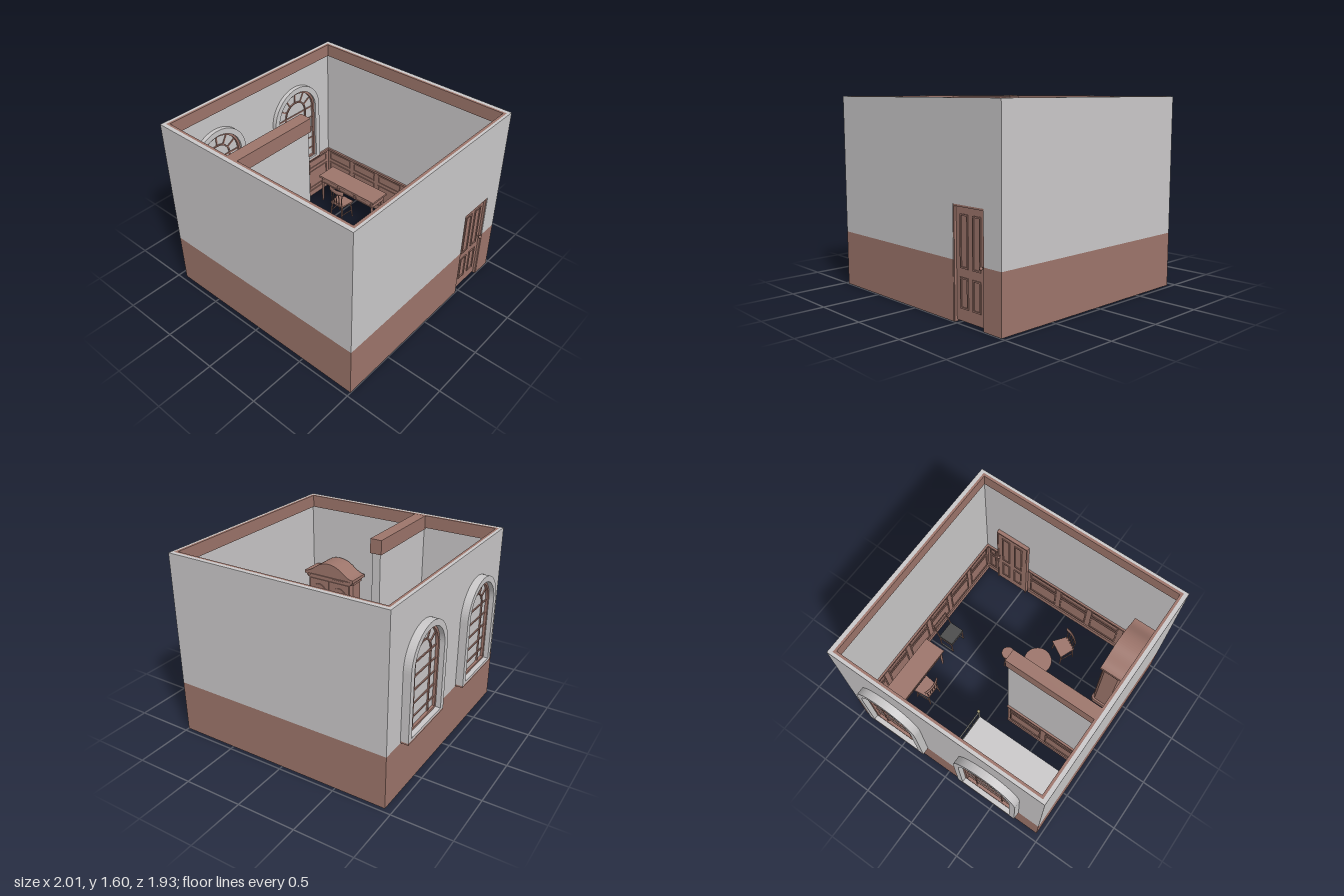
import * as THREE from 'three';

const mat = (name, color, side = THREE.FrontSide) => {
  const m = new THREE.MeshStandardMaterial({ color, side });
  m.name = name;
  return m;
};
const plaster = mat('pale plaster', 0xcac8c9);
const wood = mat('reddish wood', 0x9d756b);
const dark = mat('dark grey', 0x4c4c4c);
const metal = mat('bed metal', 0x8a8a84);
const brass = mat('brass', 0xa39a72);
const V = (x, y, z) => new THREE.Vector3(x, y, z);

function add(parent, name, geo, material, x = 0, y = 0, z = 0) {
  const m = new THREE.Mesh(geo, material);
  m.name = name;
  m.position.set(x, y, z);
  parent.add(m);
  return m;
}
function group(parent, name, x = 0, y = 0, z = 0, ry = 0) {
  const g = new THREE.Group();
  g.name = name;
  g.position.set(x, y, z);
  g.rotation.y = ry;
  parent.add(g);
  return g;
}
// box given by its minimum and maximum corners
const box = (p, name, m, x0, y0, z0, x1, y1, z1) =>
  add(p, name, new THREE.BoxGeometry(x1 - x0, y1 - y0, z1 - z0), m, (x0 + x1) / 2, (y0 + y1) / 2, (z0 + z1) / 2);
// round bar between two points
function rod(p, name, m, a, b, r0, r1 = r0) {
  const d = b.clone().sub(a);
  const mesh = add(p, name, new THREE.CylinderGeometry(r1, r0, d.length(), 8), m);
  mesh.position.copy(a).add(b).multiplyScalar(0.5);
  mesh.quaternion.setFromUnitVectors(V(0, 1, 0), d.normalize());
}
const extrude = (shape, depth) => new THREE.ExtrudeGeometry(shape, { depth, bevelEnabled: false, curveSegments: 20 });
const trace = (s, pts) => {
  pts.forEach(([x, y], i) => (i ? s.lineTo(x, y) : s.moveTo(x, y)));
  s.closePath();
  return s;
};
const rect = (s, w, h) => trace(s, [[-w / 2, -h / 2], [w / 2, -h / 2], [w / 2, h / 2], [-w / 2, h / 2]]);
// rectangular moulding centred on x, y
function moulding(p, name, x, y, z, w, h, t = 0.012, d = 0.008) {
  const s = rect(new THREE.Shape(), w, h);
  s.holes.push(rect(new THREE.Path(), w - 2 * t, h - 2 * t));
  return add(p, name, extrude(s, d), wood, x, y, z);
}
// arch outline: straight sides from y0 up to the spring line ys, then a half circle
function archPath(s, r, y0, ys) {
  s.moveTo(-r, y0);
  s.lineTo(r, y0);
  s.lineTo(r, ys);
  s.absarc(0, ys, r, 0, Math.PI, false);
  s.lineTo(-r, y0);
  return s;
}
function archRing(r, t, y0, ys, depth, bottom = 0) {
  const s = archPath(new THREE.Shape(), r, y0, ys);
  s.holes.push(archPath(new THREE.Path(), r - t, y0 + bottom, ys));
  return extrude(s, depth);
}

const H = 1.6, DADO = 0.457;
function wall(p, name, x0, z0, x1, z1, y0 = 0, y1 = H) {
  if (y0 < DADO) box(p, name + 'Lower', wood, x0, y0, z0, x1, DADO, z1);
  box(p, name + 'Upper', plaster, x0, Math.max(y0, DADO), z0, x1, y1, z1);
}
// panelled wainscot facing local +z, running from -len/2 to len/2
function wainscot(p, x, z, ry, len) {
  const g = group(p, 'wainscot', x, 0, z, ry), h = len / 2;
  box(g, 'skirting', wood, -h, 0, 0, h, 0.06, 0.012);
  box(g, 'dadoRail', wood, -h, DADO - 0.022, 0, h, DADO, 0.018);
  const n = Math.max(1, Math.round(len / 0.31)), w = len / n;
  for (let i = 0; i < n; i++) {
    const cx = -h + (i + 0.5) * w;
    moulding(g, 'lowerPanel', cx, 0.19, 0, w - 0.05, 0.21);
    moulding(g, 'upperPanel', cx, 0.37, 0, w - 0.05, 0.09);
  }
}

function windowUnit(p, z) {
  const g = group(p, 'archedWindow', -0.87, 0, z, -Math.PI / 2), ys = 1.047;
  add(g, 'windowSurround', archRing(0.288, 0.05, 0.475, ys, 0.13, 0.02), plaster);
  box(g, 'windowSill', wood, -0.288, 0.46, 0, 0.288, 0.475, 0.13);
  add(g, 'windowFrame', archRing(0.24, 0.022, 0.49, ys, 0.07, 0.022), wood, 0, 0, 0.018);
  add(g, 'innerArchBar', archRing(0.132, 0.012, 0.5, ys, 0.05, 0.005), wood, 0, 0, 0.027);
  for (let i = 0; i < 5; i++) {
    const y = 0.59 + i * 0.114;
    box(g, 'crossBar', wood, -0.225, y - 0.006, 0.03, 0.225, y + 0.006, 0.074);
    const a = Math.PI * (i + 1) / 6;
    const bar = add(g, 'radialBar', new THREE.BoxGeometry(0.1, 0.012, 0.044), wood, 0.175 * Math.cos(a), ys + 0.175 * Math.sin(a), 0.052);
    bar.rotation.z = a;
  }
}

function door(p) {
  const g = group(p, 'door', 0.96, 0, -0.625, Math.PI / 2);
  box(g, 'doorSlab', wood, -0.155, 0.015, -0.014, 0.155, 0.847, 0.014);
  box(g, 'doorHead', wood, -0.166, 0.845, -0.02, 0.166, 0.86, 0.034);
  for (const s of [-1, 1]) {
    box(g, 'doorJamb', wood, s * 0.16 - 0.006, 0, -0.02, s * 0.16 + 0.006, 0.846, 0.034);
    const face = group(g, 'doorFace', 0, 0, s * 0.014, s > 0 ? 0 : Math.PI);
    for (const x of [-0.067, 0.067]) {
      moulding(face, 'upperDoorPanel', x, 0.598, 0, 0.085, 0.39);
      moulding(face, 'lowerDoorPanel', x, 0.223, 0, 0.085, 0.23);
    }
    add(g, 'doorKnob', new THREE.SphereGeometry(0.013, 12, 8), wood, 0.138, 0.445, s * 0.04);
    rod(g, 'knobStem', wood, V(0.138, 0.445, 0), V(0.138, 0.445, s * 0.035), 0.005);
  }
}

// chair whose back is at local +z
function chair(p, name, x, z, ry) {
  const g = group(p, name, x, 0, z, ry);
  const seat = add(g, 'seat', extrude(trace(new THREE.Shape(), [[-0.09, -0.075], [0.09, -0.075], [0.07, 0.075], [-0.07, 0.075]]), 0.015), wood, 0, 0.19, 0);
  seat.rotation.x = Math.PI / 2;
  for (const s of [-1, 1]) {
    rod(g, 'frontLeg', wood, V(s * 0.085, 0, -0.07), V(s * 0.07, 0.18, -0.055), 0.006, 0.009);
    rod(g, 'backLeg', wood, V(s * 0.075, 0, 0.075), V(s * 0.06, 0.18, 0.06), 0.006, 0.009);
    rod(g, 'sideStretcher', wood, V(s * 0.08, 0.08, -0.065), V(s * 0.068, 0.08, 0.068), 0.005);
  }
  const curve = new THREE.QuadraticBezierCurve3(V(-0.088, 0, 0.065), V(0, 0, 0.105), V(0.088, 0, 0.065));
  add(g, 'topRail', new THREE.TubeGeometry(curve, 16, 0.008, 8), wood, 0, 0.345, 0).scale.y = 3.2;
  for (let i = 0; i < 5; i++) {
    const q = curve.getPoint(0.1 + i * 0.2);
    rod(g, 'spindle', wood, V(q.x * 0.8, 0.185, 0.066), V(q.x, 0.34, q.z), 0.005);
  }
}

function roundTop(p, name, x, z, r, h, foot, thick) {
  const g = group(p, name, x, 0, z);
  add(g, 'roundTop', new THREE.CylinderGeometry(r, r, thick, 32), wood, 0, h - thick / 2, 0);
  for (let i = 0; i < 4; i++) {
    const a = i * Math.PI / 2, c = Math.cos(a), s = Math.sin(a);
    rod(g, 'splayedLeg', wood, V(c * foot, 0, s * foot), V(c * r * 0.45, h - thick, s * r * 0.45), 0.006, 0.009);
  }
}

function bed(p) {
  const g = group(p, 'bed', -0.605, 0, 0.41);
  box(g, 'mattress', plaster, -0.195, 0.195, -0.435, 0.195, 0.265, 0.435);
  for (let i = 0; i < 22; i++) {
    const z = -0.42 + i * 0.04;
    box(g, 'slat', metal, -0.2, 0.178, z - 0.014, 0.2, 0.188, z + 0.014);
  }
  for (const s of [-1, 1]) {
    box(g, 'sideRail', metal, s * 0.2 - 0.006, 0.17, -0.45, s * 0.2 + 0.006, 0.205, 0.45);
    const z = s * 0.45, h = s > 0 ? 0.5 : 0.37;
    for (const x of [-0.203, 0.203]) {
      rod(g, 'bedPost', metal, V(x, 0, z), V(x, h, z), 0.009);
      add(g, 'postKnob', new THREE.SphereGeometry(0.015, 12, 10), brass, x, h + 0.01, z);
    }
    for (const y of [0.19, h - 0.02]) rod(g, 'endRail', metal, V(-0.2, y, z), V(0.2, y, z), 0.007);
    for (let i = 1; i < 8; i++) rod(g, 'endBar', metal, V(-0.203 + i * 0.0508, 0.19, z), V(-0.203 + i * 0.0508, h - 0.02, z), 0.004);
  }
}

function wardrobe(p) {
  const g = group(p, 'wardrobe', 0.635, 0, 0.775, Math.PI);
  const plan = (w, d, c) => trace(new THREE.Shape(), [[-w + c, -d], [w - c, -d], [w, -d + c], [w, d - c], [w - c, d], [-w + c, d], [-w, d - c], [-w, -d + c]]);
  for (const [name, w, d, y0, y1] of [['body', 0.25, 0.088, 0.1, 0.89], ['plinth', 0.268, 0.1, 0.04, 0.1], ['corniceBase', 0.262, 0.096, 0.87, 0.89]])
    add(g, name, extrude(plan(w, d, 0.022), y1 - y0), wood, 0, y0, 0).rotation.set(-Math.PI / 2, 0, 0);
  // crown with a bowed top, its front band repeating the bow
  const crown = (w, y0, y1, rise) => {
    const s = new THREE.Shape();
    s.moveTo(-w, y0);
    s.lineTo(w, y0);
    s.lineTo(w, y1);
    s.bezierCurveTo(w - 0.1, y1, w - 0.13, y1 + rise, 0, y1 + rise);
    s.bezierCurveTo(-w + 0.13, y1 + rise, -w + 0.1, y1, -w, y1);
    s.closePath();
    return s;
  };
  add(g, 'crown', extrude(crown(0.255, 0.88, 0.9, 0.1), 0.19), wood, 0, 0, -0.095);
  const cap = crown(0.272, 0.9, 0.93, 0.11);
  cap.holes.push(trace(new THREE.Path(), crown(0.235, 0.905, 0.907, 0.085).getPoints(12).slice(0, -1).map((q) => [q.x, q.y])));
  add(g, 'crownCap', extrude(cap, 0.21), wood, 0, 0, -0.105);
  for (const s of [-1, 1]) {
    box(g, 'wardrobeDoor', wood, s * 0.113 - 0.108, 0.13, 0.085, s * 0.113 + 0.108, 0.86, 0.095);
    add(g, 'archedPanel', archRing(0.075, 0.014, 0.42, 0.74, 0.009, 0.014), wood, s * 0.113, 0, 0.095);
    moulding(g, 'lowerWardrobePanel', s * 0.113, 0.27, 0.095, 0.15, 0.2);
    add(g, 'wardrobeKnob', new THREE.SphereGeometry(0.009, 10, 8), brass, s * 0.018, 0.48, 0.102);
    for (const z of [-0.07, 0.07]) add(g, 'bunFoot', new THREE.CylinderGeometry(0.022, 0.016, 0.04, 16), wood, s * 0.235, 0.02, z);
  }
}

function desk(p) {
  const g = group(p, 'desk', -0.445, 0, -0.763);
  box(g, 'deskTop', wood, -0.345, 0.285, -0.103, 0.345, 0.305, 0.103);
  box(g, 'deskApron', wood, -0.325, 0.225, -0.088, 0.325, 0.285, 0.088);
  for (const s of [-1, 0, 1]) moulding(g, 'drawerFront', s * 0.21, 0.255, 0.088, 0.19, 0.045, 0.006, 0.006);
  for (const x of [-0.315, 0.315]) for (const z of [-0.08, 0.08])
    rod(g, 'deskLeg', wood, V(x, 0, z), V(x, 0.23, z), 0.009, 0.014);
}

// padded seat with an open, leaning back frame
function paddedSeat(p) {
  const g = group(p, 'paddedSeat', 0.11, 0, -0.745);
  box(g, 'cushion', dark, -0.087, 0.165, -0.068, 0.087, 0.195, 0.075);
  box(g, 'seatFrame', wood, -0.09, 0.15, -0.075, 0.09, 0.165, 0.073);
  for (const s of [-1, 1]) {
    rod(g, 'frontSeatLeg', wood, V(s * 0.083, 0, 0.065), V(s * 0.083, 0.155, 0.065), 0.007);
    rod(g, 'backSeatLeg', wood, V(s * 0.083, 0, -0.07), V(s * 0.083, 0.17, -0.07), 0.007);
    rod(g, 'backUpright', wood, V(s * 0.086, 0.16, -0.07), V(s * 0.086, 0.36, -0.115), 0.006);
    box(g, 'runner', dark, s * 0.083 - 0.008, 0, -0.075, s * 0.083 + 0.008, 0.006, 0.075);
  }
  rod(g, 'backTopRail', wood, V(-0.09, 0.36, -0.115), V(0.09, 0.36, -0.115), 0.006);
}

export function createModel() {
  const room = new THREE.Group();
  room.name = 'furnishedRoom';

  // outer walls, with an opening for the door
  wall(room, 'backWall', -0.935, -0.965, 0.998, -0.93);
  wall(room, 'frontWall', -0.935, 0.928, 0.998, 0.962);
  wall(room, 'leftWall', -0.935, -0.93, -0.908, 0.928);
  wall(room, 'rightWallRear', 0.975, -0.93, 0.998, -0.79);
  wall(room, 'rightWallFront', 0.975, -0.46, 0.998, 0.928);
  wall(room, 'rightWallOverDoor', 0.975, -0.79, 0.998, -0.46, 0.86);

  // cornice around the top
  const top = group(room, 'cornice');
  box(top, 'backCornice', wood, -0.908, 1.49, -0.93, 0.975, H, -0.91);
  box(top, 'frontCornice', wood, -0.908, 1.49, 0.907, 0.975, H, 0.928);
  box(top, 'leftCornice', wood, -0.908, 1.49, -0.91, -0.887, H, 0.907);
  box(top, 'rightCornice', wood, 0.952, 1.49, -0.91, 0.975, H, 0.907);

  // partition with a beam above it
  wall(room, 'partition', -0.22, 0.15, -0.145, 0.928, 0, 1.48);
  box(room, 'beam', wood, -0.235, 1.475, 0.137, -0.132, H - 0.001, 0.92);

  // wainscot on every inner face
  const q = Math.PI / 2;
  wainscot(room, 0.033, -0.93, 0, 1.88);
  wainscot(room, -0.564, 0.928, Math.PI, 0.68);
  wainscot(room, 0.415, 0.928, Math.PI, 1.1);
  wainscot(room, -0.908, 0, q, 1.85);
  wainscot(room, 0.975, 0.235, -q, 1.37);
  wainscot(room, 0.975, -0.865, -q, 0.12);
  wainscot(room, -0.145, 0.53, q, 0.76);
  wainscot(room, -0.22, 0.53, -q, 0.76);

  windowUnit(room, -0.473);
  windowUnit(room, 0.473);
  door(room);
  bed(room);
  wardrobe(room);
  desk(room);
  chair(room, 'deskChair', -0.45, -0.605, 0);
  chair(room, 'tableChair', 0.618, 0.2, 1.05);
  roundTop(room, 'roundTable', 0.335, 0.095, 0.128, 0.255, 0.11, 0.018);
  roundTop(room, 'stool', 0.255, -0.185, 0.06, 0.205, 0.066, 0.018);
  paddedSeat(room);
  return room;
}
